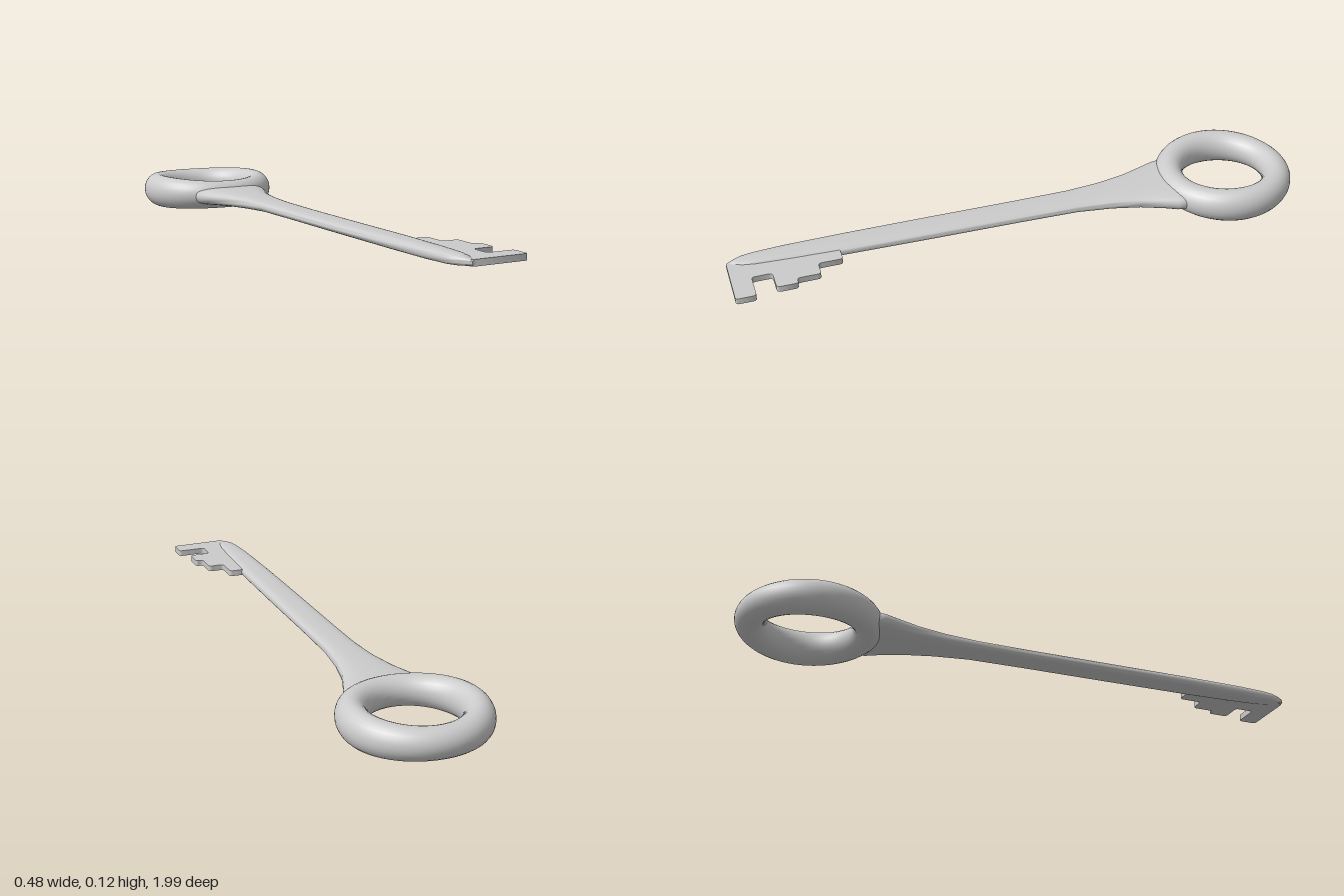
import * as THREE from 'three';
import { mergeVertices, toCreasedNormals } from 'three/addons/utils/BufferGeometryUtils.js';

const material = new THREE.MeshStandardMaterial({ color: 0xcccccc });

function part(name, geometry) {
  const mesh = new THREE.Mesh(geometry, material);
  mesh.name = name;
  return mesh;
}

// Bow: a ring whose tube is a little taller at its left and right sides
function bowGeometry() {
  let g = new THREE.TorusGeometry(0.19, 0.05, 24, 72).rotateX(Math.PI / 2);
  g.deleteAttribute('normal');
  g.deleteAttribute('uv');
  g = mergeVertices(g, 1e-5);
  const p = g.attributes.position;
  for (let i = 0; i < p.count; i++) {
    const x = p.getX(i), z = p.getZ(i);
    p.setY(i, p.getY(i) * (1 + 0.17 * x * x / (x * x + z * z)));
  }
  g.computeVertexNormals();
  return g.translate(0, 0.06, -0.762);
}

// Shank: rounded-rectangle sections [z, left edge, right edge, bottom, top]
const sections = [
  [-0.585, -0.13, 0.13, 0.028, 0.088],
  [-0.565, -0.14, 0.14, 0.023, 0.092],
  [-0.54, -0.137, 0.135, 0.025, 0.091],
  [-0.5, -0.122, 0.118, 0.029, 0.089],
  [-0.42, -0.094, 0.088, 0.034, 0.086],
  [-0.32, -0.073, 0.066, 0.039, 0.083],
  [-0.2, -0.061, 0.053, 0.044, 0.081],
  [0, -0.06, 0.049, 0.045, 0.08],
  [0.3, -0.06, 0.046, 0.045, 0.081],
  [0.6, -0.057, 0.041, 0.045, 0.083],
  [0.8, -0.051, 0.032, 0.045, 0.084],
  [0.9, -0.044, 0.026, 0.047, 0.083],
  [0.94, -0.037, 0.019, 0.05, 0.081],
  [0.97, -0.024, 0.008, 0.054, 0.077],
  [0.992, -0.01, 0.001, 0.057, 0.073],
];

function shankGeometry() {
  const sides = 28, positions = [], index = [];
  const round = (v) => Math.sign(v) * Math.abs(v) ** 0.7;
  for (const [z, x0, x1, y0, y1] of sections) {
    for (let j = 0; j < sides; j++) {
      const a = (j / sides) * Math.PI * 2;
      positions.push(
        (x0 + x1) / 2 + round(Math.cos(a)) * (x1 - x0) / 2,
        (y0 + y1) / 2 + round(Math.sin(a)) * (y1 - y0) / 2, z);
    }
  }
  const last = (sections.length - 1) * sides;
  for (let j = 0; j < sides; j++) {
    const k = (j + 1) % sides;
    for (let s = 0; s < last; s += sides) {
      index.push(s + j, s + k, s + sides + j, s + k, s + sides + k, s + sides + j);
    }
    // End caps
    if (j > 0 && j < sides - 1) index.push(0, k, j, last, last + j, last + k);
  }
  const g = new THREE.BufferGeometry();
  g.setAttribute('position', new THREE.Float32BufferAttribute(positions, 3));
  g.setIndex(index);
  return toCreasedNormals(g, 0.9);
}

// Bit: flat toothed plate, outline as [x, z, corner radius]
const bitOutline = [
  [0, 0.625, 0], [0.085, 0.625, 0.014], [0.085, 0.708, 0.012], [0.14, 0.708, 0.014],
  [0.14, 0.787, 0.012], [0.166, 0.787, 0.012], [0.166, 0.858, 0.014], [0.09, 0.858, 0.012],
  [0.09, 0.925, 0.012], [0.187, 0.925, 0.012], [0.187, 0.992, 0.01], [-0.004, 0.992, 0.004],
  [-0.02, 0.965, 0],
];

function bitGeometry() {
  const shape = new THREE.Shape();
  const points = bitOutline.map(([x, z]) => new THREE.Vector2(x, -z));
  const n = points.length;
  points.forEach((p, i) => {
    const r = bitOutline[i][2];
    const toward = (q) => q.clone().sub(p).setLength(r).add(p);
    const a = r ? toward(points[(i + n - 1) % n]) : p;
    if (i === 0) shape.moveTo(a.x, a.y);
    else shape.lineTo(a.x, a.y);
    if (r) {
      const b = toward(points[(i + 1) % n]);
      shape.quadraticCurveTo(p.x, p.y, b.x, b.y);
    }
  });
  shape.closePath();
  const g = new THREE.ExtrudeGeometry(shape, { depth: 0.021, bevelEnabled: false, curveSegments: 5 });
  return toCreasedNormals(g.rotateX(-Math.PI / 2).translate(0, 0.054, 0), 0.6);
}

export function createModel() {
  const key = new THREE.Group();
  key.name = 'key';
  key.add(part('bow', bowGeometry()), part('shank', shankGeometry()), part('bit', bitGeometry()));
  return key;
}
